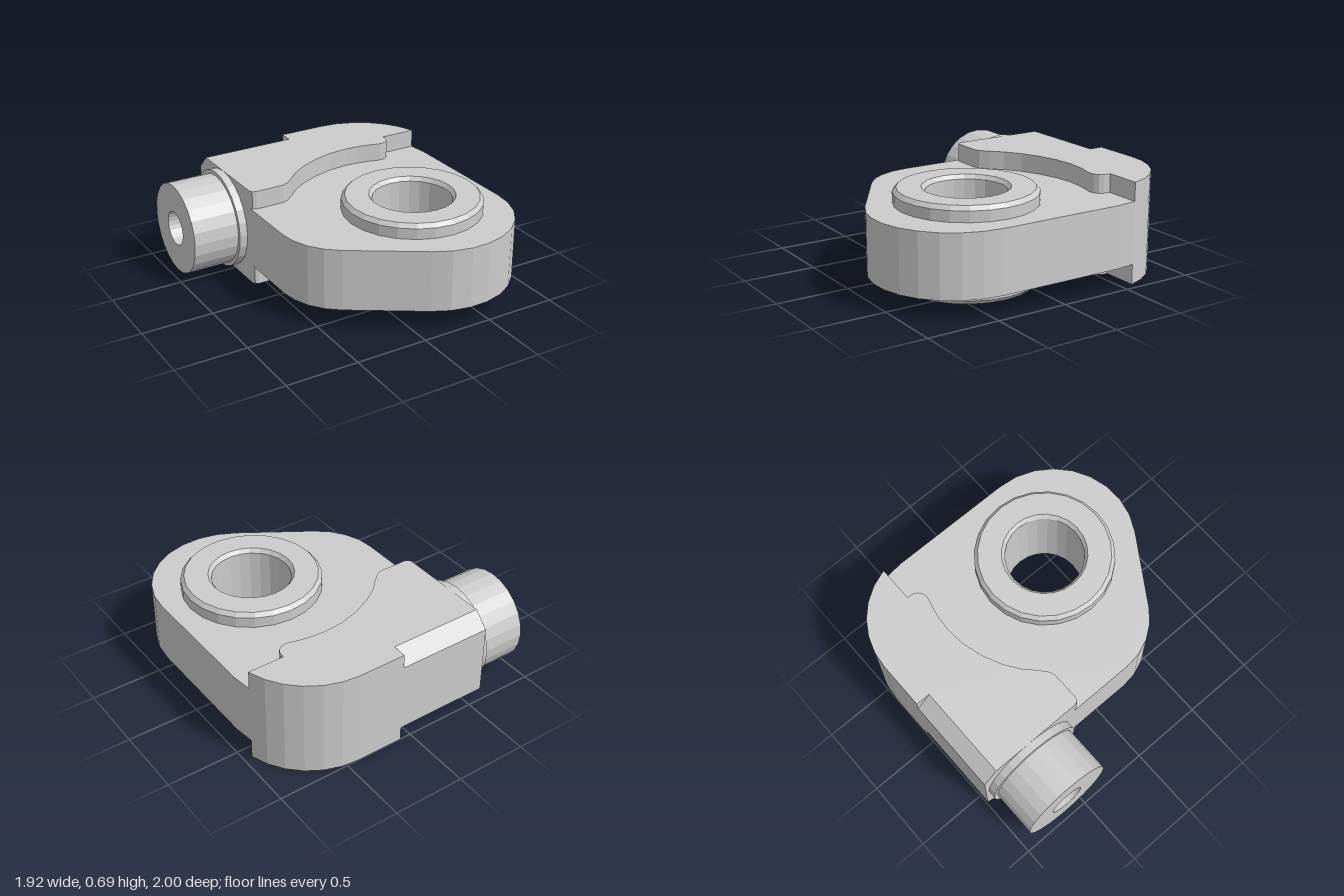
import * as THREE from 'three';

const material = new THREE.MeshStandardMaterial({ color: 0xcccccc, flatShading: true });

// Points along an arc in plan (x, z); angle 0 is +x, 90 degrees is the back (-z)
function arc(cx, cz, r, fromDeg, toDeg, steps) {
  const pts = [];
  for (let i = 0; i <= steps; i++) {
    const a = THREE.MathUtils.degToRad(fromDeg + (toDeg - fromDeg) * i / steps);
    pts.push([cx + r * Math.cos(a), cz - r * Math.sin(a)]);
  }
  return pts;
}

// Upright slab from a plan outline
function slab(outline, y0, y1, hole) {
  const shape = new THREE.Shape(outline.map(([x, z]) => new THREE.Vector2(x, -z)));
  if (hole) {
    shape.holes.push(new THREE.Path(arc(hole.x, hole.z, hole.r, 0, 345, 23).map(([x, z]) => new THREE.Vector2(x, -z))));
  }
  const geo = new THREE.ExtrudeGeometry(shape, { depth: y1 - y0, bevelEnabled: false });
  return geo.rotateX(-Math.PI / 2).translate(0, y0, 0);
}

function lathe(profile, segments) {
  return new THREE.LatheGeometry(profile.map(([r, y]) => new THREE.Vector2(r, y)), segments);
}

export function createModel() {
  const group = new THREE.Group();
  const add = (name, geo) => {
    const mesh = new THREE.Mesh(geo, material);
    mesh.name = name;
    group.add(mesh);
    return mesh;
  };

  const H = 0.69, left = -0.585;
  const boss = { x: 0.345, z: 0.31, r: 0.4 };

  // Curved front edge of the thick rear block, left to right
  const step = [
    [left, -0.24], [-0.575, -0.215], [-0.55, -0.205], [-0.35, -0.205], [-0.31, -0.22],
    [-0.25, -0.27], [-0.18, -0.34], [-0.07, -0.415], [0.06, -0.475], [0.2, -0.515],
    [0.34, -0.527], [0.44, -0.52], [0.52, -0.505], [0.6, -0.485], [0.64, -0.49],
    [0.67, -0.51], [0.685, -0.54], [0.69, -0.585],
  ];

  // Thinner front plate with the rounded outline
  add('frontPlate', slab([
    ...step,
    ...arc(0.41, -0.45, 0.55, 14.2, 0, 1),
    ...arc(0.4, 0.44, 0.56, 0, -123, 9),
    ...arc(-0.126, 0.22, 0.459, -123, -180, 4),
  ], 0.137, 0.563, boss));

  // Thick rear block, notched where the chamfered strip sits
  add('rearBlock', slab([
    [left, -0.9], [0.08, -0.9], [0.08, -1],
    ...arc(0.41, -0.45, 0.55, 90, 14.2, 6),
    ...[...step].reverse(),
  ], 0, H));

  // Rear strip chamfered along its top and bottom edges
  const c = 0.1;
  const strip = new THREE.Shape([[0.9, 0], [1, c], [1, H - c], [0.9, H]].map(p => new THREE.Vector2(...p)));
  add('chamferedStrip', new THREE.ExtrudeGeometry(strip, { depth: 0.08 - left, bevelEnabled: false })
    .rotateY(Math.PI / 2).translate(left, 0, 0)
  );

  // Bushing ring through the plate, with chamfered rims
  const bottom = 0.03, top = 0.665, e = 0.028;
  add('bushing', lathe([
    [0.45, bottom], [0.475, bottom + e], [0.475, top - e], [0.45, top],
    [0.29, top], [0.268, top - e], [0.268, bottom + e], [0.29, bottom], [0.45, bottom],
  ], 24)).position.set(boss.x, 0, boss.z);

  // Side pipe with collar and blind hole, pointing to -x
  add('sidePipe', lathe([
    [0.345, 0.58], [0.345, 0.64], [0.318, 0.64], [0.318, 0.96],
    [0.12, 0.96], [0.12, 0.59], [0, 0.59],
  ], 24).rotateZ(Math.PI / 2)).position.set(0, H / 2, -0.632);

  // Turn the strip profile so its chamfered face looks backward
  return group;
}
